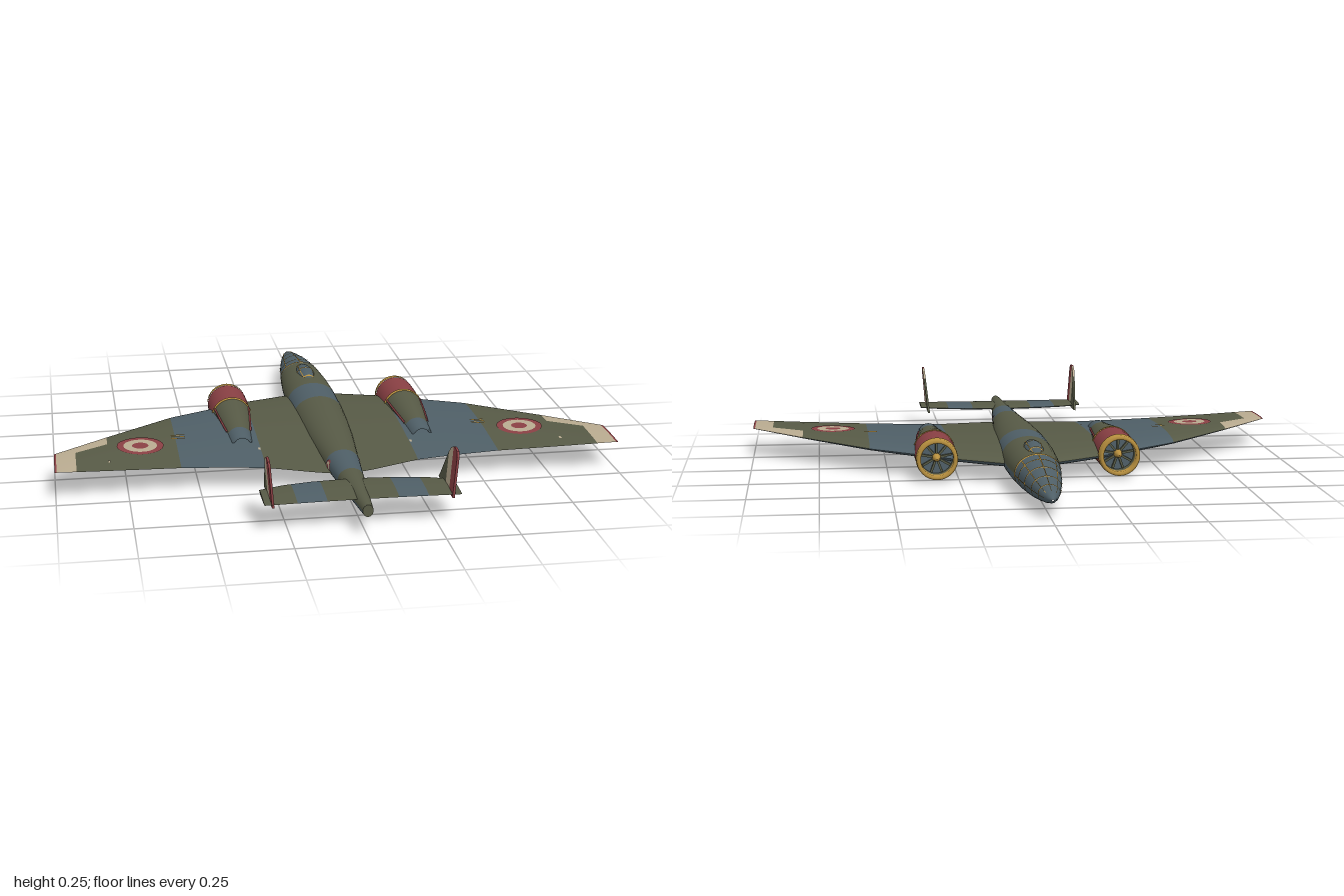
import * as THREE from 'three';

const mat = (name, color) => {
  const m = new THREE.MeshStandardMaterial({ color });
  m.name = name;
  return m;
};
const { lerp } = THREE.MathUtils;

// Linear lookup in rows of [key, a, b, ...]
function look(rows, k, col = 1) {
  let i = 0;
  while (i < rows.length - 2 && k > rows[i + 1][0]) i++;
  const p = rows[i], q = rows[i + 1];
  return lerp(p[col], q[col], THREE.MathUtils.clamp((k - p[0]) / (q[0] - p[0]), 0, 1));
}

// Grid surface f(u, v) -> [x, y, z], facing dv x du (or the opposite when flipped)
function sheet(f, nu, nv, flip) {
  const pos = [], idx = [];
  for (let i = 0; i <= nu; i++) for (let j = 0; j <= nv; j++) pos.push(...f(i / nu, j / nv));
  for (let i = 0; i < nu; i++) for (let j = 0; j < nv; j++) {
    const a = i * (nv + 1) + j, b = a + 1, c = a + nv + 1, d = c + 1;
    if (flip) idx.push(a, c, b, b, c, d);
    else idx.push(a, b, c, b, d, c);
  }
  const g = new THREE.BufferGeometry();
  g.setAttribute('position', new THREE.Float32BufferAttribute(pos, 3));
  g.setIndex(idx);
  g.computeVertexNormals();
  return g;
}

// Fuselage sections: z, half width, bottom, top
const HULL = [[-0.94, 0.003, 0.067, 0.073], [-0.925, 0.014, 0.057, 0.084], [-0.87, 0.031, 0.045, 0.098],
  [-0.8, 0.046, 0.034, 0.112], [-0.7, 0.063, 0.021, 0.13], [-0.55, 0.081, 0.009, 0.146],
  [-0.42, 0.091, 0.003, 0.152], [-0.28, 0.096, 0, 0.155], [-0.1, 0.096, 0.001, 0.152], [0.05, 0.091, 0.004, 0.148],
  [0.2, 0.082, 0.012, 0.142], [0.45, 0.06, 0.029, 0.129], [0.7, 0.039, 0.05, 0.119], [0.94, 0.018, 0.07, 0.112]];
function hull(a, z, off = 0) {
  const w = look(HULL, z) + off, b = look(HULL, z, 2) - off, t = look(HULL, z, 3) + off;
  return [w * Math.sin(a), (b + t) / 2 + (t - b) / 2 * Math.cos(a), z];
}
function canopy(a, z, off = 0) {
  const k = Math.sqrt(Math.max(0, 1 - ((z + 0.415) / 0.12) ** 2));
  return [(0.036 * k + off) * Math.sin(a), 0.13 + (0.037 * k + off) * Math.cos(a), z];
}

// Lifting surfaces: rows of x, leading z, trailing z, middle height, half thickness
const WING = [[0, -0.36, 0.54, 0.07, 0.036], [0.1, -0.335, 0.515, 0.073, 0.033], [0.27, -0.265, 0.458, 0.079, 0.028],
  [0.4, -0.19, 0.447, 0.084, 0.024], [0.56, -0.1, 0.442, 0.09, 0.018], [0.81, 0.11, 0.455, 0.099, 0.01], [1, 0.28, 0.466, 0.107, 0.003]];
const TAIL = [[0, 0.67, 0.862, 0.102, 0.009], [0.15, 0.68, 0.864, 0.102, 0.008],
  [0.25, 0.698, 0.867, 0.102, 0.007], [0.33, 0.727, 0.87, 0.102, 0.005]];
const bulge = f => 2.6 * Math.sqrt(f) * (1 - f);
function foil(rows, x, f, side) {
  return [x, look(rows, x, 3) + side * look(rows, x, 4) * bulge(f), lerp(look(rows, x, 1), look(rows, x, 2), f)];
}
function wingTop(x, z, off) {
  const l = look(WING, x, 1), t = look(WING, x, 2);
  return [x, foil(WING, x, (z - l) / (t - l), 1)[1] + off, z];
}

export function createModel() {
  const olive = mat('olive paint', 0x575a46), slate = mat('slate paint', 0x4f5f67), red = mat('red paint', 0x8a4044),
    cream = mat('cream paint', 0xb9ab90), yellow = mat('ochre paint', 0xb8903f);
  const model = new THREE.Group();
  const add = (name, geo, material, parent = model) => {
    const m = new THREE.Mesh(geo, material);
    m.name = name;
    parent.add(m);
    return m;
  };
  const H = Math.PI / 2;

  // Fuselage: banded upper half, plain lower half
  const body = (name, fn, a0, a1, z0, z1, m, off = 0, nu = 20, nv = 24) =>
    add(name, sheet((u, v) => fn(lerp(a0, a1, u), lerp(z0, z1, v), off), nu, nv), m);
  for (const [z0, z1, m] of [[-0.94, -0.55, slate], [-0.55, -0.25, olive], [-0.25, -0.09, slate],
    [-0.09, 0.45, olive], [0.45, 0.62, slate], [0.62, 0.94, olive]])
    body('upperFuselage', hull, -H, H, z0, z1, m);
  body('lowerFuselage', hull, H, 3 * H, -0.94, 0.94, slate, 0, 20, 80);
  const cap = add('tailCap', new THREE.CircleGeometry(1, 24), olive);
  cap.scale.set(0.018, 0.021, 1);
  cap.position.set(0, 0.091, 0.94);

  // Glazed nose framing and canopy
  for (const [z, w] of [[-0.555, 0.014], [-0.615, 0.008], [-0.7, 0.008], [-0.78, 0.007], [-0.85, 0.006]])
    body('noseHoop', hull, -2, 2, z - w / 2, z + w / 2, yellow, 0.002, 32, 1);
  for (const a of [-1.6, -0.8, 0, 0.8, 1.6])
    body('noseRib', hull, a - 0.03, a + 0.03, -0.9, -0.56, yellow, 0.002, 1, 24);
  body('canopyGlass', canopy, -H, H, -0.535, -0.295, slate);
  for (const z of [-0.49, -0.415, -0.335]) body('canopyHoop', canopy, -H, H, z - 0.004, z + 0.004, yellow, 0.002, 16, 1);
  for (const a of [-0.7, 0.7]) body('canopyRib', canopy, a - 0.05, a + 0.05, -0.52, -0.31, yellow, 0.002, 1, 20);

  for (const s of [1, -1]) {
    const out = ([x, y, z]) => [s * x, y, z];
    const half = new THREE.Group();
    half.name = s > 0 ? 'leftSide' : 'rightSide';
    model.add(half);

    // Wing and tailplane skins, split where the paint changes
    const skin = (name, rows, x0, x1, f0, f1, m, side = 1) => add(name, sheet((u, v) =>
      out(foil(rows, lerp(x0, x1, u), lerp(Math.sqrt(f0), Math.sqrt(f1), v) ** 2, side)), 14, 28, s * side < 0), m, half);
    const tip = (name, rows, x, m) => add(name, sheet((u, v) =>
      out(foil(rows, x, v * v, 1 - 2 * u)), 1, 20, s < 0), m, half);
    skin('wingTop', WING, 0, 0.27, 0, 1, olive);
    skin('wingTop', WING, 0.27, 0.565, 0, 1, slate);
    skin('wingTop', WING, 0.565, 0.81, 0, 1, olive);
    skin('wingTipEdge', WING, 0.81, 0.925, 0, 0.28, cream);
    skin('wingTop', WING, 0.81, 0.925, 0.28, 1, olive);
    skin('wingTip', WING, 0.925, 0.993, 0, 1, cream);
    skin('wingTipLine', WING, 0.993, 1, 0, 1, red);
    skin('wingUnderside', WING, 0, 1, 0, 1, slate, -1);
    tip('wingTipCap', WING, 1, red);
    for (const [x0, x1, m] of [[0, 0.12, olive], [0.12, 0.22, slate], [0.22, 0.33, olive]])
      skin('tailplaneTop', TAIL, x0, x1, 0, 1, m);
    skin('tailplaneUnderside', TAIL, 0, 0.33, 0, 1, slate, -1);
    tip('tailplaneCap', TAIL, 0.33, olive);

    // Roundels on wing and fuselage
    for (const [r0, r1, m] of [[0, 0.35, red], [0.35, 0.72, cream], [0.72, 1, red]]) {
      const ring = f => sheet((u, v) => {
        const r = lerp(r0, r1, u), t = v * Math.PI * 2;
        return out(f(r * Math.cos(t), r * Math.sin(t)));
      }, 4, 40, s < 0);
      add('wingRoundel', ring((p, q) => wingTop(0.695 + 0.083 * p, 0.24 + 0.083 * q, 0.002)), m, half);
      add('fuselageRoundel', ring((p, q) => {
        const z = 0.485 + 0.024 * p, y = 0.082 + 0.024 * q;
        const b = look(HULL, z, 2), t = look(HULL, z, 3);
        return [look(HULL, z) * Math.sqrt(1 - ((2 * y - b - t) / (t - b)) ** 2) + 0.002, y, z];
      }), m, half);
    }

    // Small wing marks
    const mark = (name, x, z, w, d, m) => add(name, sheet((u, v) =>
      out(wingTop(x + (u - 0.5) * w, z + (v - 0.5) * d, 0.002)), 4, 2, s < 0), m, half);
    for (const z of [0.148, 0.165, 0.182]) mark('wingStep', 0.555, z, 0.05, 0.007, yellow);
    mark('wingFitting', 0.81, 0.38, 0.008, 0.018, cream);
    mark('wingFitting', 0.275, 0.3, 0.008, 0.018, cream);

    // Engine nacelle
    const nacelle = new THREE.Group();
    nacelle.name = 'nacelle';
    nacelle.position.set(s * 0.33, 0.082, 0);
    half.add(nacelle);
    const turn = (name, pts, m) => add(name, new THREE.LatheGeometry(
      pts.map(p => new THREE.Vector2(...p)), 32).rotateX(H), m, nacelle);
    turn('cowlLip', [[0.059, -0.265], [0.059, -0.288], [0.066, -0.296], [0.074, -0.288], [0.076, -0.262]], yellow);
    turn('cowlInside', [[0.059, -0.23], [0.059, -0.265]], olive);
    turn('cowl', [[0.0745, -0.264], [0.0755, -0.2], [0.074, -0.108]], red);
    turn('cowlBand', [[0.074, -0.11], [0.0765, -0.109], [0.076, -0.099], [0.072, -0.098]], yellow);
    turn('nacelleBody', [[0.073, -0.1], [0.064, 0], [0.055, 0.08], [0.047, 0.15]], olive);
    turn('exhaustPipe', [[0.047, 0.15], [0.04, 0.24], [0.033, 0.24]], slate);
    turn('exhaustInside', [[0, 0.2], [0.033, 0.2]].reverse(), slate);
    turn('exhaustWall', [[0.033, 0.24], [0.033, 0.2]], slate);
    turn('engineFace', [[0, -0.235], [0.06, -0.235]], slate);
    turn('engineHub', [[0, -0.28], [0.01, -0.272], [0.016, -0.235]], yellow);
    for (let i = 0; i < 9; i++) {
      const spoke = add('engineCylinder', new THREE.BoxGeometry(0.008, 0.042, 0.012).translate(0, 0.036, -0.24), olive, nacelle);
      spoke.rotation.z = i * Math.PI * 2 / 9;
    }
    for (const a of [-1.05, 1.05]) {
      const at = (r, z) => new THREE.Vector3(r * Math.sin(a), r * Math.cos(a), z);
      add('exhaustLine', new THREE.TubeGeometry(new THREE.CatmullRomCurve3(
        [at(0.073, -0.1), at(0.065, 0), at(0.049, 0.14)]), 12, 0.004, 6), red, nacelle);
    }

    // Canted tail fin in three stripes
    const fin = new THREE.Group();
    fin.name = 'tailFin';
    fin.position.set(s * 0.302, 0.1, 0);
    fin.rotation.z = -s * 0.08;
    half.add(fin);
    const stripe = (name, pts, m) => add(name, new THREE.ExtrudeGeometry(
      new THREE.Shape(pts.map(p => new THREE.Vector2(...p))), { depth: 0.008, bevelEnabled: false })
      .rotateY(-H).translate(0.004, 0, 0), m, fin);
    stripe('finRed', [[0.815, -0.01], [0.868, -0.01], [0.872, 0.135], [0.862, 0.151], [0.838, 0.155], [0.815, 0.152]], red);
    stripe('finCream', [[0.762, -0.01], [0.815, -0.01], [0.815, 0.152], [0.785, 0.139], [0.762, 0.117]], cream);
    stripe('finFront', [[0.66, -0.01], [0.762, -0.01], [0.762, 0.117], [0.72, 0.064], [0.675, 0.005]], olive);
  }
  return model;
}
